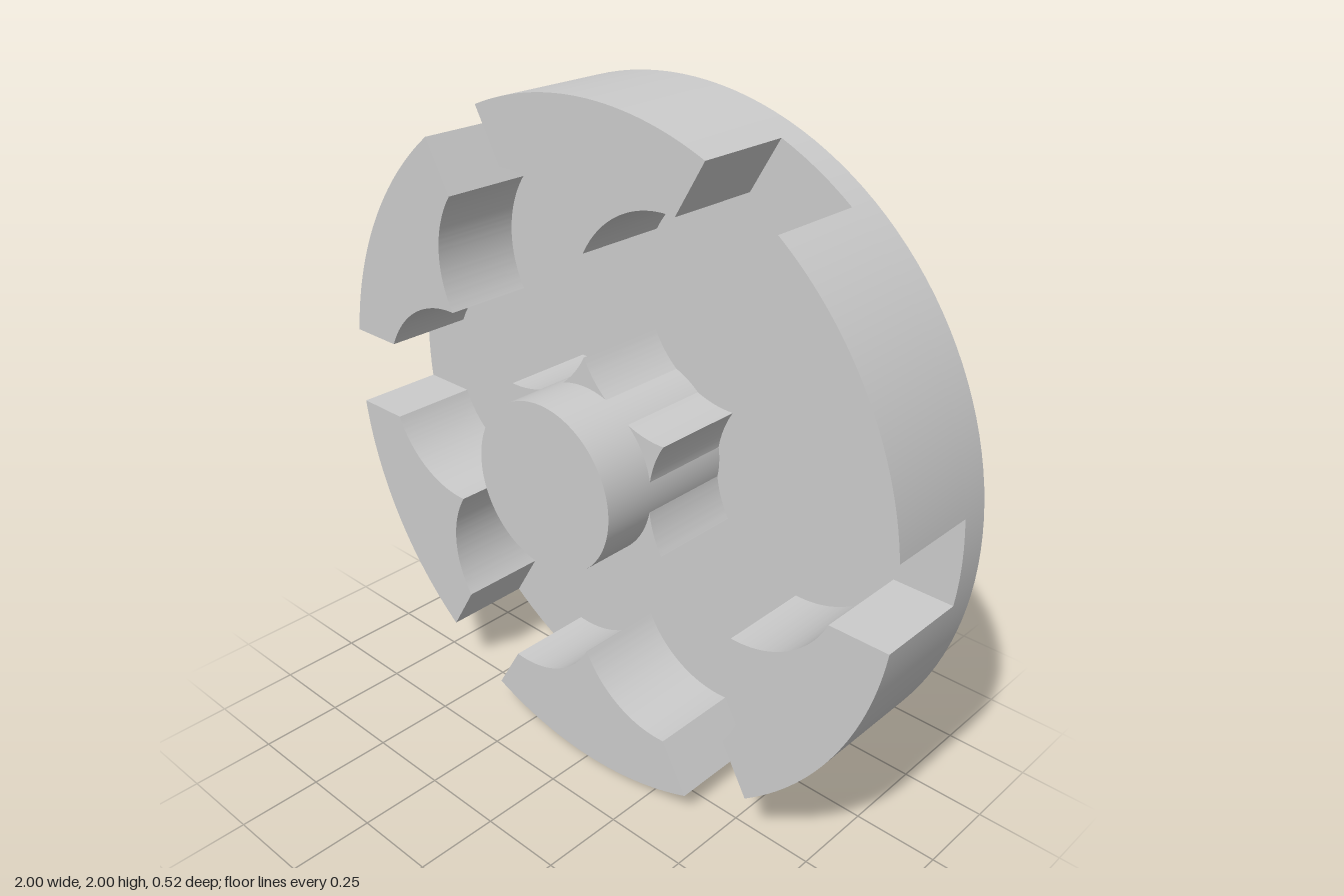
import * as THREE from 'three';
import { toCreasedNormals } from 'three/addons/utils/BufferGeometryUtils.js';

const R = 1, SLOT = 0.123;            // disc radius, half slot width
const D = 0.5406, r = 0.3053;         // pocket circle distance and radius
const BACK = -0.262, FLOOR = -0.176, RIM = 0.102, FRONT = 0.262;
const STEP = Math.PI / 3;

const material = new THREE.MeshStandardMaterial({ color: 0xcccccc });

// Angle, about a pocket's centre, of the cusp at distance t where neighbouring pockets meet
const cuspAngle = (t) => Math.atan2(t * Math.sin(STEP / 2), t * Math.cos(STEP / 2) - D);
const half = Math.sqrt(r * r - (D * Math.sin(STEP / 2)) ** 2);
const outerCusp = cuspAngle(D * Math.cos(STEP / 2) + half);
const innerCusp = cuspAngle(D * Math.cos(STEP / 2) - half);

// Clockwise arc along pocket circle k
function pocketArc(shape, k, from, to) {
  const a = k * STEP;
  shape.absarc(D * Math.cos(a), D * Math.sin(a), r, a + from, a + to, true);
}

function extrude(name, shape, z0, z1) {
  const geo = new THREE.ExtrudeGeometry(shape, { depth: z1 - z0, bevelEnabled: false, curveSegments: 24 });
  const mesh = new THREE.Mesh(toCreasedNormals(geo, 0.4), material);
  mesh.name = name;
  mesh.position.z = z0;
  return mesh;
}

function disc(name, radius, z0, z1) {
  const geo = new THREE.CylinderGeometry(radius, radius, z1 - z0, 144).rotateX(Math.PI / 2);
  const mesh = new THREE.Mesh(geo, material);
  mesh.name = name;
  mesh.position.z = (z0 + z1) / 2;
  return mesh;
}

export function createModel() {
  const model = new THREE.Group();
  model.name = 'slottedDisc';
  const body = new THREE.Group();
  body.name = 'body';
  body.position.y = R;
  model.add(body);

  // Back plate and round centre post
  body.add(disc('backPlate', R, BACK, FLOOR));
  body.add(disc('centrePost', 0.243, FLOOR, FRONT));

  // Six raised rim segments between the slots
  const wall = new THREE.Shape();
  const a = Math.asin(SLOT / R), s = Math.asin(SLOT / r);
  wall.absarc(0, 0, R, a, STEP - a, false);
  pocketArc(wall, 1, -s, -outerCusp);
  pocketArc(wall, 0, outerCusp, s);
  wall.closePath();
  for (let k = 0; k < 6; k++) {
    const segment = extrude('rimSegment' + (k + 1), wall, FLOOR, RIM);
    segment.rotation.z = k * STEP;
    body.add(segment);
  }

  // Six-pointed hub left between the pockets
  const star = new THREE.Shape();
  for (let k = 0; k < 6; k++) pocketArc(star, k, 2 * Math.PI - innerCusp, innerCusp);
  body.add(extrude('starHub', star, FLOOR, RIM));

  return model;
}
